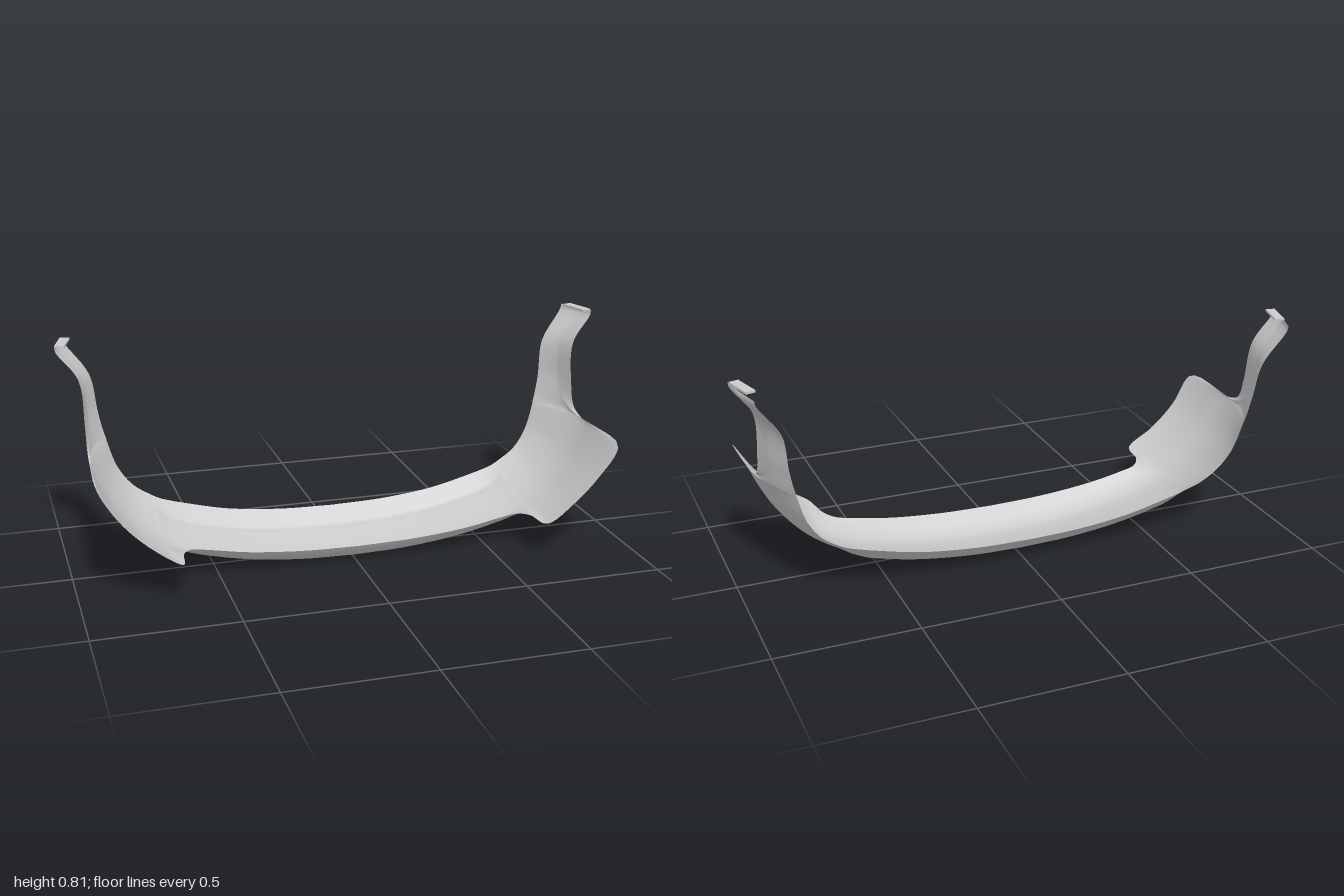
import * as THREE from 'three';

const material = new THREE.MeshStandardMaterial({ color: 0xcccccc, side: THREE.DoubleSide });

// Guide lines of one half, from the middle of the U to the top of the arm.
const front = [
  [0, .07, .145], [.2, .075, .145], [.4, .093, .145], [.54, .118, .145],
  [.6, .13, .152], [.635, .137, .195], [.66, .142, .305], [.76, .21, .305],
  [.85, .3, .305], [.918, .405, .305], [.918, .425, 0], [.916, .455, -.07],
  [.916, .53, -.098], [.926, .685, -.122], [.996, .785, -.133], [1, .805, -.135],
];
const belly = [
  [0, .003, .04], [.2, .01, .04], [.4, .035, .04], [.57, .075, .04],
  [.64, .1, .04], [.67, .115, .045], [.7, .132, .05], [.78, .195, .05],
  [.86, .295, .045], [.915, .41, .04], [.905, .435, -.08], [.897, .47, -.14],
  [.897, .53, -.175], [.91, .675, -.2], [.983, .782, -.21], [.982, .8, -.21],
];
const back = [
  [0, .096, -.215], [.2, .102, -.215], [.4, .125, -.215], [.56, .163, -.217],
  [.62, .18, -.218], [.65, .19, -.22], [.68, .205, -.225], [.745, .25, -.23],
  [.795, .32, -.24], [.825, .41, -.25], [.83, .43, -.253], [.838, .46, -.257],
  [.852, .53, -.265], [.872, .66, -.285], [.95, .775, -.302], [.955, .795, -.303],
];
const curve = pts => new THREE.CatmullRomCurve3(pts.map(p => new THREE.Vector3(...p)), false, 'centripetal');
const [frontLine, bellyLine, backLine] = [front, belly, back].map(curve);
const lerp = THREE.MathUtils.lerp;
const ramp = (s, a, b) => THREE.MathUtils.clamp((s - a) / (b - a), 0, 1);

// Share of the rise reached behind the belly in the middle: a shelf, then a raised lip.
function lipRise(t) {
  if (t < .67) return .34 * Math.pow(t / .67, 1.4);
  if (t < .765) return lerp(.34, .37, (t - .67) / .095);
  return lerp(.37, 1, (t - .765) / .235);
}

// Point of the sheet: s counts stations along the half, v runs from front (-1) to back (1).
function sheetPoint(s, v) {
  const u = s / (front.length - 1);
  const p = bellyLine.getPoint(u);
  const end = (v < 0 ? frontLine : backLine).getPoint(u);
  const t = Math.abs(v);
  const straight = ramp(s, 9, 11.5);
  let rise;
  if (v < 0) {
    rise = Math.pow(t, lerp(lerp(2.3, 1.6, ramp(s, 3, 7)), 1, straight));
  } else {
    rise = lerp(lipRise(t), Math.pow(t, lerp(1.8, 1.1, straight)), ramp(s, 3, 5.5));
  }
  return [lerp(p.x, end.x, rise), lerp(p.y, end.y, rise), lerp(p.z, end.z, t)];
}

// Thin sheet covering both mirrored halves
function makeSheet() {
  const perStation = 6, half = (front.length - 1) * perStation;
  const columns = [];
  for (let j = -12; j <= 0; j++) columns.push(j / 12);
  columns.push(.1, .2, .3, .4, .5, .6, .67, .72, .765, .79, .85, .92, 1);
  const positions = [], index = [], n = columns.length;
  for (let i = -half; i <= half; i++) {
    for (const v of columns) {
      const [x, y, z] = sheetPoint(Math.abs(i) / perStation, v);
      positions.push(i < 0 ? -x : x, y, z);
    }
  }
  for (let i = 0; i < 2 * half; i++) {
    for (let j = 0; j < n - 1; j++) {
      const a = i * n + j, b = a + n;
      index.push(a, a + 1, b, b, a + 1, b + 1);
    }
  }
  const geometry = new THREE.BufferGeometry();
  geometry.setAttribute('position', new THREE.Float32BufferAttribute(positions, 3));
  geometry.setIndex(index);
  geometry.computeVertexNormals();
  return geometry;
}

export function createModel() {
  const group = new THREE.Group();
  group.name = 'curvedTrim';

  const sheet = new THREE.Mesh(makeSheet(), material);
  sheet.name = 'trimSheet';
  group.add(sheet);

  // Small ledge at the top of each arm
  for (const side of [1, -1]) {
    const clip = new THREE.Mesh(new THREE.BoxGeometry(.034, .008, .115), material);
    clip.name = side > 0 ? 'leftClip' : 'rightClip';
    clip.position.set(side * .967, .804, -.193);
    clip.rotation.y = side * .26;
    group.add(clip);
  }
  return group;
}
